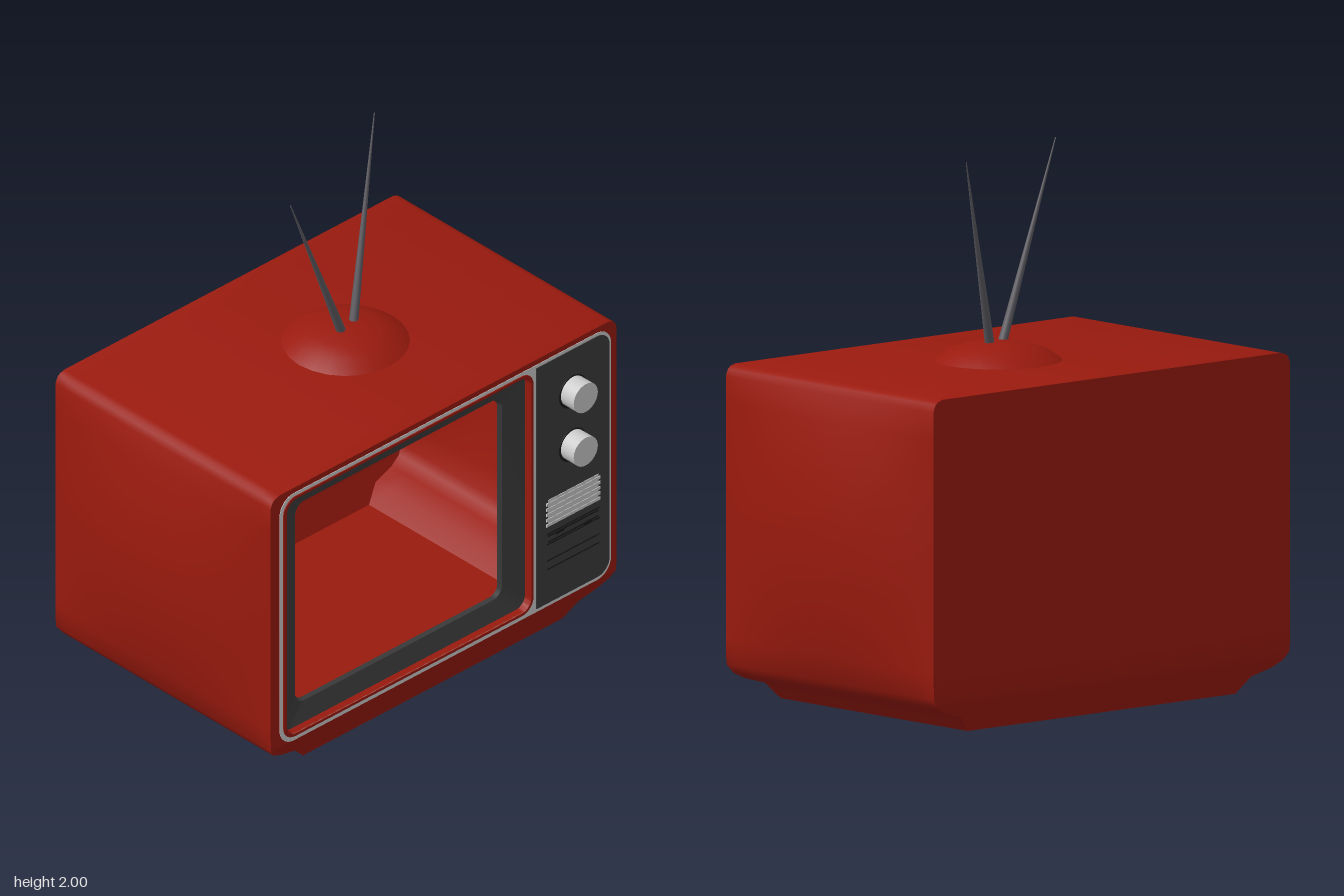
import * as THREE from 'three';
import { toCreasedNormals } from 'three/addons/utils/BufferGeometryUtils.js';

const FRONT = 0.525, BACK = -0.6;
const mat = (color) => new THREE.MeshStandardMaterial({ color, side: THREE.DoubleSide });

function meshFrom(positions, index, material, name, crease = 0.7) {
  const g = new THREE.BufferGeometry();
  g.setAttribute('position', new THREE.Float32BufferAttribute(positions, 3));
  g.setIndex(index);
  const mesh = new THREE.Mesh(toCreasedNormals(g, crease), material);
  mesh.name = name;
  return mesh;
}

// Half outline of the cabinet, bottom to top: [x, y]
function cabinetRows() {
  const rows = [[0.645, 0], [0.70, 0.06], [0.79, 0.085], [0.835, 0.108], [0.857, 0.14]];
  for (let i = 1; i <= 10; i++) rows.push([0.86, 0.14 + i * 0.095]);
  rows.push([0.86, 1.19], [0.85, 1.215], [0.838, 1.225], [0.815, 1.232]);
  return rows;
}

// Cabinet point: sides bulge around mid height and mid depth, the foot tapers in
function cabinetPoint([x, y], t, side) {
  const inset = Math.max(0, 0.14 - y) * 0.4;
  const z = THREE.MathUtils.lerp(BACK + inset, FRONT - inset, t);
  const v = Math.max(0, 1 - ((y - 0.67) / 0.53) ** 2);
  const d = 1 - (2 * t - 1) ** 2;
  return [side * (x + 0.075 * v * d), y, z];
}

function buildCabinet(material) {
  const rows = cabinetRows(), n = rows.length, loop = 2 * n, steps = 16;
  const pos = [], idx = [];
  for (let k = 0; k <= steps; k++) {
    for (let i = 0; i < n; i++) pos.push(...cabinetPoint(rows[i], k / steps, 1));
    for (let i = n - 1; i >= 0; i--) pos.push(...cabinetPoint(rows[i], k / steps, -1));
  }
  for (let k = 0; k < steps; k++) {
    for (let i = 0; i < loop; i++) {
      const a = k * loop + i, b = k * loop + (i + 1) % loop;
      idx.push(a, b, b + loop, a, b + loop, a + loop);
    }
  }
  // Back wall, and the front strip below the screen
  for (let j = 0; j < n - 1; j++) {
    const r = j, l = loop - 1 - j;
    idx.push(r, l - 1, r + 1, r, l, l - 1);
    if (j < 4) {
      const o = steps * loop;
      idx.push(o + r, o + r + 1, o + l - 1, o + r, o + l - 1, o + l);
    }
  }
  return meshFrom(pos, idx, material, 'cabinetShell');
}

// Rounded rectangle, counter-clockwise
function rectPoints(x0, x1, y0, y1, r, n = 8) {
  const pts = [];
  [[x1 - r, y0 + r, -1], [x1 - r, y1 - r, 0], [x0 + r, y1 - r, 1], [x0 + r, y0 + r, 2]].forEach(([cx, cy, q]) => {
    for (let i = 0; i <= n; i++) {
      const a = (q + i / n) * Math.PI / 2;
      pts.push(new THREE.Vector2(cx + r * Math.cos(a), cy + r * Math.sin(a)));
    }
  });
  return pts;
}

// Frame lofted through rounded rectangles, outside to inside: [x0, x1, y0, y1, r, z]
function loftFrame(loops, material, name) {
  const pos = [], idx = [];
  let m = 0;
  loops.forEach(([x0, x1, y0, y1, r, z]) => {
    const pts = rectPoints(x0, x1, y0, y1, r);
    m = pts.length;
    pts.forEach((p) => pos.push(p.x, p.y, z));
  });
  for (let k = 0; k < loops.length - 1; k++) {
    for (let i = 0; i < m; i++) {
      const a = k * m + i, b = k * m + (i + 1) % m;
      idx.push(a, b, b + m, a, b + m, a + m);
    }
  }
  return meshFrom(pos, idx, material, name);
}

export function createModel() {
  const model = new THREE.Group();
  model.name = 'television';
  const red = mat(0x9a1a0e), dark = mat(0x3c3c3c), black = mat(0x1a1a1a);
  const silver = mat(0xcccccc), steel = mat(0x5c5a60);

  const add = (geometry, material, name, x = 0, y = 0, z = 0) => {
    const mesh = new THREE.Mesh(geometry, material);
    mesh.name = name;
    mesh.position.set(x, y, z);
    model.add(mesh);
    return mesh;
  };

  model.add(buildCabinet(red));

  // Red front face around the trim
  const upper = cabinetRows().slice(4);
  const outline = [...upper, ...upper.map(([x, y]) => [-x, y]).reverse()];
  const face = new THREE.Shape(outline.map(([x, y]) => new THREE.Vector2(x, y)));
  face.holes.push(new THREE.Path(rectPoints(-0.805, 0.82, 0.15, 1.2, 0.06)));
  add(new THREE.ShapeGeometry(face), red, 'frontFace', 0, 0, FRONT);

  // Silver trim, raised red screen frame and recessed bezel
  model.add(loftFrame([
    [-0.815, 0.83, 0.14, 1.21, 0.07, FRONT - 0.005],
    [-0.815, 0.83, 0.14, 1.21, 0.07, FRONT + 0.002],
    [-0.785, 0.435, 0.17, 1.185, 0.05, FRONT + 0.002],
  ], silver, 'silverTrim'));
  model.add(loftFrame([
    [-0.80, 0.445, 0.155, 1.197, 0.06, FRONT],
    [-0.797, 0.442, 0.158, 1.194, 0.057, FRONT + 0.005],
    [-0.783, 0.432, 0.168, 1.184, 0.05, FRONT + 0.005],
    [-0.778, 0.428, 0.172, 1.18, 0.045, FRONT - 0.025],
  ], red, 'screenFrame'));
  model.add(loftFrame([
    [-0.778, 0.428, 0.172, 1.18, 0.045, FRONT - 0.025],
    [-0.69, 0.338, 0.243, 1.108, 0.045, FRONT - 0.05],
    [-0.683, 0.328, 0.25, 1.1, 0.04, FRONT - 0.065],
  ], dark, 'screenBezel'));

  // Control panel, rounded on its outer corners only
  const panel = new THREE.Shape([
    new THREE.Vector2(0.458, 0.155),
    ...rectPoints(0.458, 0.82, 0.155, 1.197, 0.06).slice(0, 18),
    new THREE.Vector2(0.458, 1.197),
  ]);
  add(new THREE.ExtrudeGeometry(panel, { depth: 0.006, bevelEnabled: false }), dark, 'controlPanel', 0, 0, FRONT - 0.001);
  const panelZ = FRONT + 0.005;

  // Dials
  for (const y of [1.022, 0.79]) {
    add(new THREE.CylinderGeometry(0.068, 0.068, 0.006, 32), black, 'dialRing', 0.635, y - 0.003, panelZ).rotation.x = Math.PI / 2;
    add(new THREE.CylinderGeometry(0.06, 0.06, 0.075, 32), silver, 'dial', 0.635, y, 0.5625).rotation.x = Math.PI / 2;
  }

  // Speaker grille with a notched edge
  for (let i = 0; i < 10; i++) {
    add(new THREE.BoxGeometry(i % 2 ? 0.25 : 0.268, 0.0115, i % 2 ? 0.004 : 0.008), silver, 'grilleBar', 0.638, 0.494 + i * 0.0113, panelZ);
  }

  // Slider tracks with their handles, and vent slits
  for (const [y, x] of [[0.445, 0.568], [0.42, 0.708]]) {
    add(new THREE.BoxGeometry(0.25, 0.006, 0.004), black, 'sliderTrack', 0.638, y, panelZ);
    add(new THREE.BoxGeometry(0.04, 0.012, 0.012), black, 'sliderHandle', x, y, panelZ);
  }
  for (const y of [0.455, 0.41, 0.34, 0.303]) {
    add(new THREE.BoxGeometry(0.26, 0.005, 0.004), black, 'ventSlit', 0.638, y, panelZ);
  }

  // Antenna dome
  const dome = [[0.235, 0], [0.185, 0.036], [0.125, 0.058], [0.06, 0.07], [0, 0.073]];
  add(new THREE.LatheGeometry(dome.map(([r, y]) => new THREE.Vector2(r, y)), 24), red, 'antennaDome', 0.05, 1.23, -0.04);

  // Tapered antenna rods
  const rods = [
    [new THREE.Vector3(0.022, 1.28, -0.028), new THREE.Vector3(-0.285, 2, 0.025)],
    [new THREE.Vector3(0.088, 1.28, -0.04), new THREE.Vector3(0.35, 2, -0.205)],
  ];
  for (const [a, b] of rods) {
    const dir = b.clone().sub(a);
    const rod = add(new THREE.CylinderGeometry(0.002, 0.018, dir.length(), 12), steel, 'antennaRod');
    rod.position.copy(a).add(b).multiplyScalar(0.5);
    rod.quaternion.setFromUnitVectors(new THREE.Vector3(0, 1, 0), dir.normalize());
  }
  return model;
}
